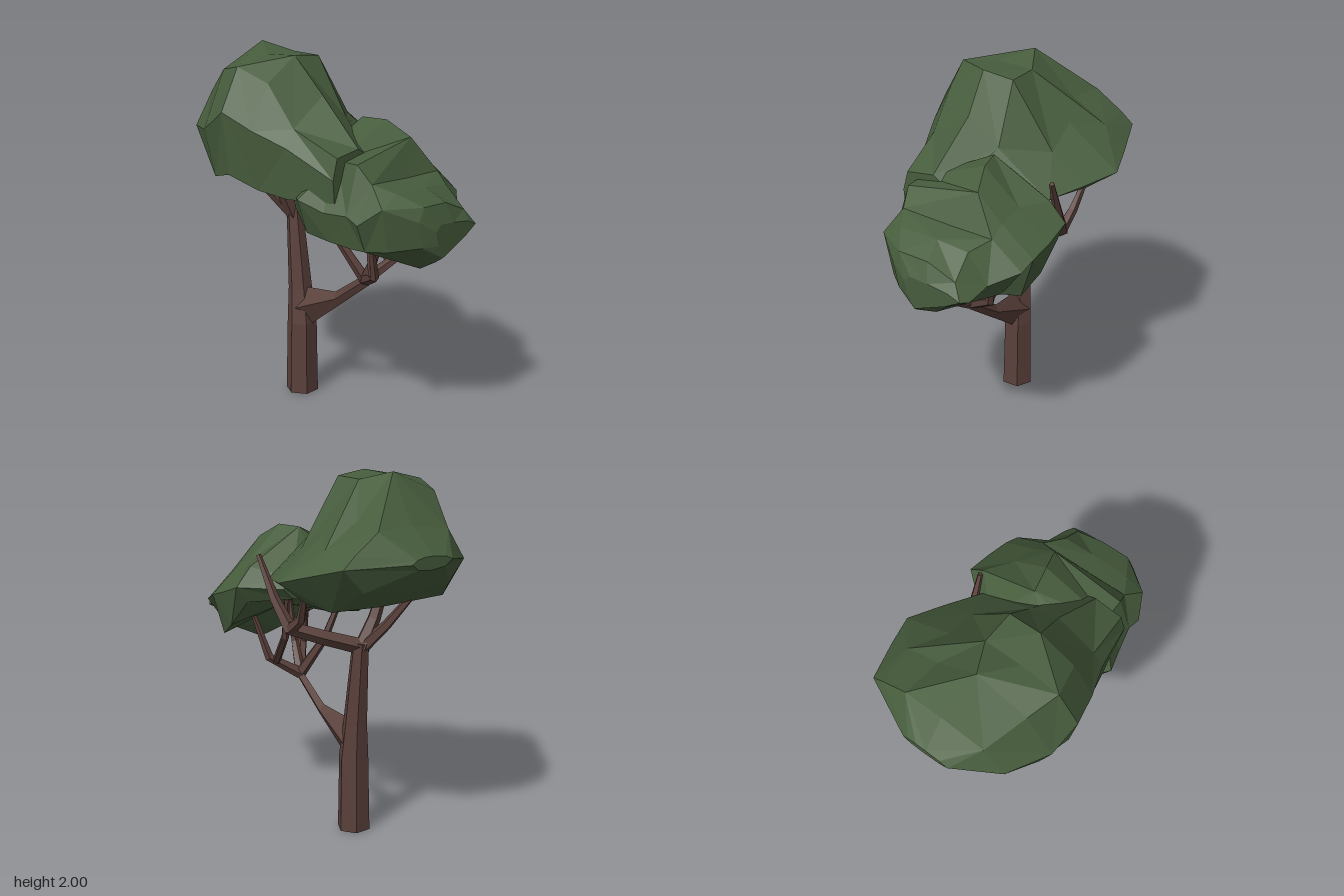
import * as THREE from 'three';

const bark = new THREE.MeshStandardMaterial({ color: 0x5a403b, flatShading: true });
const leaf = new THREE.MeshStandardMaterial({ color: 0x475d3d, flatShading: true });

// Joins rings of points (counter-clockwise about the path) into a closed faceted skin.
function loft(rings) {
  const n = rings[0].length, last = rings.length - 1, pos = [];
  const tri = (...pts) => pts.forEach(p => pos.push(p.x, p.y, p.z));
  for (let s = 0; s < last; s++) {
    for (let i = 0; i < n; i++) {
      const j = (i + 1) % n;
      const [a, b, c, d] = [rings[s][i], rings[s][j], rings[s + 1][j], rings[s + 1][i]];
      if ((s + i) % 2) { tri(a, b, c); tri(a, c, d); } else { tri(a, b, d); tri(b, c, d); }
    }
  }
  for (let i = 1; i < n - 1; i++) {
    tri(rings[0][0], rings[0][i + 1], rings[0][i]);
    tri(rings[last][0], rings[last][i], rings[last][i + 1]);
  }
  const geo = new THREE.BufferGeometry();
  geo.setAttribute('position', new THREE.Float32BufferAttribute(pos, 3));
  geo.computeVertexNormals();
  return geo;
}

// Tapered limb through stations [x, y, z, radius]; width squashes it sideways.
function limb(name, stations, sides = 5, width = 1) {
  const pts = stations.map(s => new THREE.Vector3(s[0], s[1], s[2]));
  const total = pts[pts.length - 1].clone().sub(pts[0]).normalize();
  const ref = Math.abs(total.y) > 0.85 ? new THREE.Vector3(0, 0, -1) : new THREE.Vector3(0, 1, 0);
  const rings = pts.map((p, k) => {
    const dir = pts[Math.min(k + 1, pts.length - 1)].clone().sub(pts[Math.max(k - 1, 0)]).normalize();
    const side = new THREE.Vector3().crossVectors(ref, dir).normalize();
    const up = new THREE.Vector3().crossVectors(dir, side);
    return Array.from({ length: sides }, (_, i) => {
      const a = (i / sides) * Math.PI * 2, r = stations[k][3];
      return p.clone().addScaledVector(side, Math.cos(a) * r * width).addScaledVector(up, Math.sin(a) * r);
    });
  });
  const mesh = new THREE.Mesh(loft(rings), bark);
  mesh.name = name;
  return mesh;
}

// Leaf mass from cross-sections along z: [z, x, y, x, y, ...], starting at the left edge and running underneath.
function canopy(name, sections) {
  const rings = sections.map(([z, ...xy]) =>
    Array.from({ length: xy.length / 2 }, (_, i) => new THREE.Vector3(xy[2 * i], xy[2 * i + 1], z)));
  const mesh = new THREE.Mesh(loft(rings), leaf);
  mesh.name = name;
  return mesh;
}

export function createModel() {
  const tree = new THREE.Group();
  tree.name = 'tree';

  // Trunk and the heavy limb reaching forward
  tree.add(limb('trunk', [
    [-0.028, 0, -0.2, 0.093], [-0.025, 0.42, -0.2, 0.085], [-0.02, 0.62, -0.217, 0.068],
    [-0.02, 1.08, -0.257, 0.046],
  ], 6));
  tree.add(limb('frontLimb', [
    [-0.02, 0.51, -0.2, 0.12], [-0.02, 0.622, 0.07, 0.038], [-0.03, 0.785, 0.29, 0.03],
  ], 4, 0.6));

  // Upper branches under the rear canopy
  const upper = new THREE.Group();
  upper.name = 'upperBranches';
  upper.add(
    limb('leader', [[-0.02, 1.04, -0.257, 0.046], [-0.1, 1.2, -0.27, 0.037], [-0.18, 1.42, -0.28, 0.028]]),
    limb('rearBranch', [[-0.03, 1.05, -0.26, 0.038], [-0.11, 1.18, -0.36, 0.028], [-0.19, 1.33, -0.45, 0.02]]),
    limb('sideBranch', [[-0.02, 1.06, -0.25, 0.046], [0.16, 1.12, -0.16, 0.042], [0.32, 1.18, -0.07, 0.038]]),
    limb('outerTwig', [[0.31, 1.16, -0.08, 0.038], [0.34, 1.32, 0.02, 0.028], [0.36, 1.54, 0.13, 0.014]]),
    limb('innerTwig', [[0.31, 1.17, -0.08, 0.034], [0.32, 1.24, -0.18, 0.026], [0.35, 1.38, -0.25, 0.016]]),
  );
  tree.add(upper);

  // Lower branches fanning into the front canopy
  const lower = new THREE.Group();
  lower.name = 'lowerBranches';
  const node = [-0.03, 0.785, 0.28, 0.034];
  [
    [node, [-0.22, 0.9, 0.5, 0.026], [-0.28, 1.12, 0.53, 0.012]],
    [[-0.21, 0.9, 0.48, 0.022], [-0.2, 1.1, 0.44, 0.013]],
    [node, [0.13, 0.89, 0.36, 0.026], [0.2, 1.16, 0.42, 0.013]],
    [[0.1, 0.87, 0.33, 0.024], [0.16, 1.05, 0.17, 0.022], [0.19, 1.28, 0.11, 0.015]],
    [node, [-0.11, 1.0, 0.16, 0.024], [-0.2, 1.27, 0.1, 0.014]],
    [node, [-0.06, 0.95, 0.37, 0.022], [-0.05, 1.2, 0.4, 0.013]],
  ].forEach((path, i) => lower.add(limb('lowerBranch' + (i + 1), path)));
  tree.add(lower);

  // Tall rear leaf mass with a broad flat underside
  tree.add(canopy('rearCanopy', [
    [-0.8, -0.15, 1.6, -0.1, 1.57, 0, 1.56, 0.08, 1.57, 0.12, 1.6, 0.09, 1.62, 0.04, 1.63, -0.02, 1.63, -0.1, 1.62],
    [-0.65, -0.38, 1.55, -0.28, 1.44, 0, 1.42, 0.3, 1.46, 0.43, 1.59, 0.36, 1.65, 0.21, 1.75, -0.01, 1.76, -0.26, 1.72],
    [-0.44, -0.51, 1.58, -0.44, 1.31, 0, 1.31, 0.33, 1.33, 0.49, 1.53, 0.37, 1.65, 0.17, 1.77, -0.07, 2.0, -0.36, 1.88],
    [-0.27, -0.54, 1.7, -0.5, 1.36, 0, 1.33, 0.36, 1.35, 0.53, 1.48, 0.24, 1.7, 0.01, 1.95, -0.2, 1.96, -0.42, 1.92],
    [-0.09, -0.5, 1.62, -0.46, 1.3, -0.02, 1.32, 0.28, 1.35, 0.43, 1.45, 0.24, 1.6, 0, 1.95, -0.18, 1.97, -0.38, 1.85],
    [0.09, -0.44, 1.55, -0.43, 1.28, -0.1, 1.29, 0.2, 1.33, 0.32, 1.42, 0.21, 1.5, 0.02, 1.64, -0.16, 1.78, -0.38, 1.64],
    [0.37, -0.39, 1.42, -0.38, 1.3, -0.25, 1.28, -0.15, 1.3, -0.1, 1.38, -0.1, 1.45, -0.12, 1.5, -0.2, 1.55, -0.36, 1.53],
  ]));

  // Stepped front leaf mass, hollowed underneath
  tree.add(canopy('frontCanopy', [
    [0.02, -0.32, 1.3, -0.3, 1.2, 0, 1.27, 0.22, 1.3, 0.28, 1.36, 0.22, 1.42, 0.05, 1.44, -0.2, 1.42],
    [0.18, -0.45, 1.3, -0.38, 1.11, 0, 1.27, 0.4, 1.28, 0.47, 1.37, 0.38, 1.47, 0.05, 1.65, -0.3, 1.45],
    [0.32, -0.41, 1.25, -0.37, 1.09, -0.02, 1.25, 0.41, 1.13, 0.46, 1.32, 0.28, 1.47, 0.08, 1.65, -0.3, 1.5],
    [0.45, -0.38, 1.25, -0.34, 1.07, -0.04, 1.16, 0.37, 1.05, 0.44, 1.28, 0.26, 1.43, 0.12, 1.57, -0.3, 1.5],
    [0.53, -0.39, 1.22, -0.33, 1.07, -0.08, 1.0, 0.3, 1.08, 0.42, 1.24, 0.25, 1.38, 0, 1.39, -0.28, 1.41],
    [0.64, -0.33, 1.31, -0.28, 1.08, -0.02, 0.93, 0.17, 1.1, 0.29, 1.18, 0.18, 1.34, 0, 1.36, -0.22, 1.37],
    [0.76, -0.19, 1.24, -0.16, 1.1, -0.05, 1.0, 0.14, 1.08, 0.26, 1.14, 0.18, 1.23, 0.02, 1.3, -0.15, 1.31],
    [0.8, -0.1, 1.18, -0.08, 1.1, -0.04, 1.03, 0.14, 1.1, 0.23, 1.15, 0.16, 1.18, 0.04, 1.2, -0.06, 1.21],
  ]));

  return tree;
}
